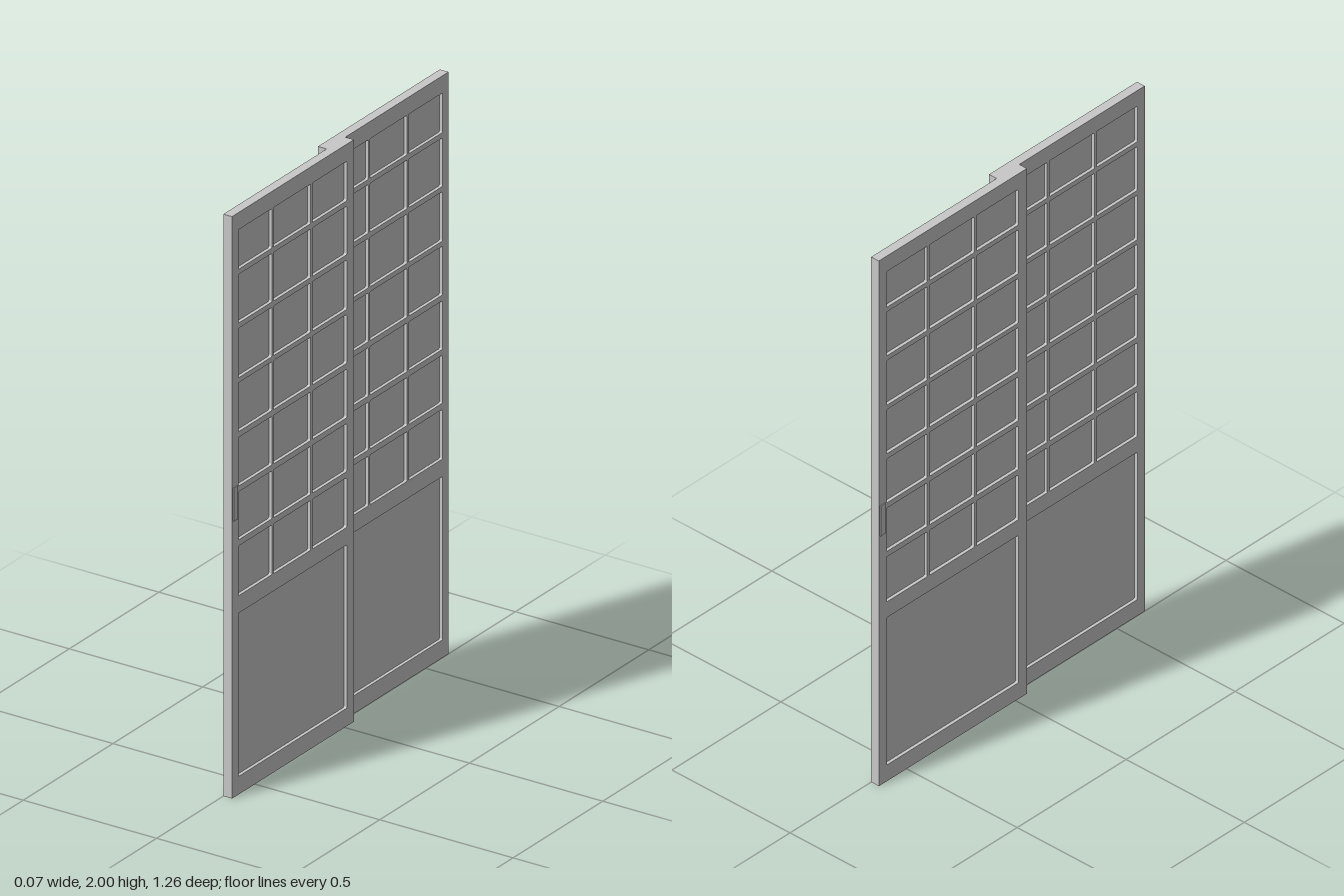
import * as THREE from 'three';

// Two overlapping sliding lattice doors, each a half-turn copy of the other.
const THICK = 0.0325;
const columns = [[-0.012, 0.18], [0.19, 0.396], [0.406, 0.593]];
const rows = [
  [0.683, 0.854], [0.875, 1.04], [1.06, 1.227], [1.247, 1.415],
  [1.432, 1.602], [1.62, 1.787], [1.805, 1.941],
];
const lowerPanel = [-0.012, 0.593, 0.062, 0.623];

// Traces a rectangle with corners of radius r; the profile's x axis runs along negative z
function rect(path, z0, z1, y0, y1, r) {
  const l = -z1, w = -z0;
  path.moveTo(l + r, y0);
  path.lineTo(w - r, y0);
  path.quadraticCurveTo(w, y0, w, y0 + r);
  path.lineTo(w, y1 - r);
  path.quadraticCurveTo(w, y1, w - r, y1);
  path.lineTo(l + r, y1);
  path.quadraticCurveTo(l, y1, l, y1 - r);
  path.lineTo(l, y0 + r);
  path.quadraticCurveTo(l, y0, l + r, y0);
  return path;
}

function box(name, material, x0, x1, y0, y1, z0, z1) {
  const mesh = new THREE.Mesh(new THREE.BoxGeometry(x1 - x0, y1 - y0, z1 - z0), material);
  mesh.name = name;
  mesh.position.set((x0 + x1) / 2, (y0 + y1) / 2, (z0 + z1) / 2);
  return mesh;
}

function createDoor(name, material) {
  const door = new THREE.Group();
  door.name = name;

  // Frame and glazing bars cut from one board
  const outline = rect(new THREE.Shape(), -0.052, 0.628, 0, 2, 0.001);
  for (const [y0, y1] of rows) {
    for (const [z0, z1] of columns) outline.holes.push(rect(new THREE.Path(), z0, z1, y0, y1, 0.005));
  }
  outline.holes.push(rect(new THREE.Path(), ...lowerPanel, 0.005));
  const geometry = new THREE.ExtrudeGeometry(outline, { depth: THICK, bevelEnabled: false, curveSegments: 3 });
  geometry.rotateY(Math.PI / 2);
  const frame = new THREE.Mesh(geometry, material);
  frame.name = 'frame';
  door.add(frame);

  // Recessed sheets behind the lattice and in the lower opening
  door.add(box('latticePane', material, 0.011, 0.021, 0.67, 1.955, -0.02, 0.602));
  door.add(box('lowerPanel', material, 0.011, 0.021, 0.05, 0.635, -0.02, 0.602));

  // Slim pull plate on the outer stile
  door.add(box('pullHandle', material, THICK - 0.002, THICK + 0.003, 0.95, 1.065, 0.6, 0.622));
  return door;
}

export function createModel() {
  const grey = new THREE.MeshStandardMaterial({ color: 0xc8c8c8 });
  grey.name = 'grey';

  const model = new THREE.Group();
  model.name = 'slidingDoors';
  const front = createDoor('frontDoor', grey);
  const back = createDoor('backDoor', grey);
  back.rotation.y = Math.PI;
  model.add(front, back);
  return model;
}
